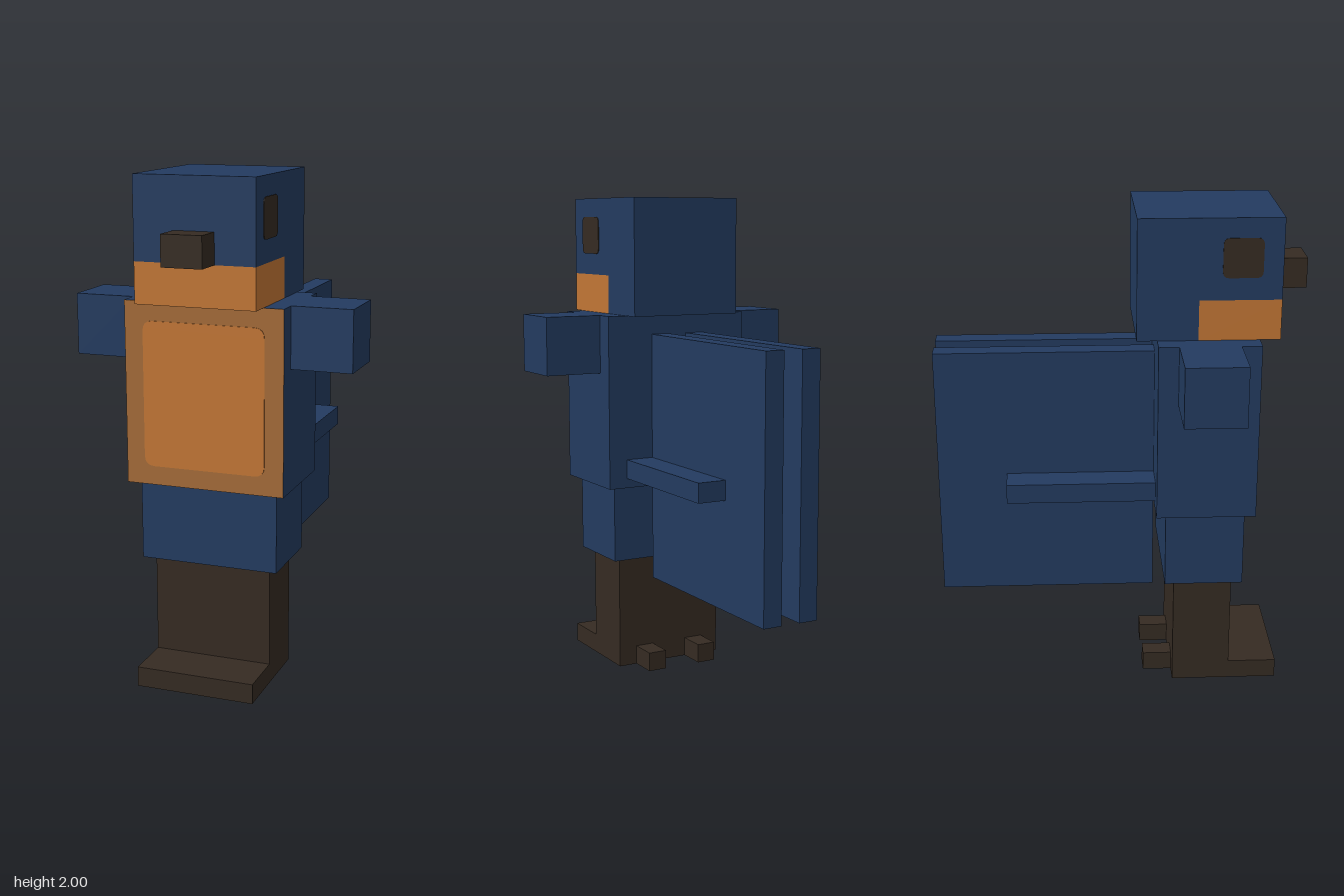
import * as THREE from 'three';

export function createModel() {
  const model = new THREE.Group();
  model.name = 'blockBird';

  const material = (name, color) => {
    const m = new THREE.MeshStandardMaterial({ color });
    m.name = name;
    return m;
  };
  const blue = material('blue feathers', 0x233b60);
  const orange = material('orange feathers', 0xc27635);
  const brown = material('brown chest border', 0xa46b38);
  const dark = material('dark horn', 0x352b22);

  // Box given by its lower and upper corners
  function block(name, mat, [x0, y0, z0], [x1, y1, z1]) {
    const mesh = new THREE.Mesh(new THREE.BoxGeometry(x1 - x0, y1 - y0, z1 - z0), mat);
    mesh.position.set((x0 + x1) / 2, (y0 + y1) / 2, (z0 + z1) / 2);
    mesh.name = name;
    model.add(mesh);
    return mesh;
  }

  // The same box on the model's left and right
  function pair(name, mat, [x0, y0, z0], [x1, y1, z1]) {
    block(name + 'Left', mat, [x0, y0, z0], [x1, y1, z1]);
    block(name + 'Right', mat, [-x1, y0, z0], [-x0, y1, z1]);
  }

  // Thin rounded plate facing +z, for painted details
  function plate(name, mat, w, h, r) {
    const a = w / 2, b = h / 2;
    const s = new THREE.Shape();
    s.moveTo(-a + r, -b);
    s.lineTo(a - r, -b);
    s.quadraticCurveTo(a, -b, a, -b + r);
    s.lineTo(a, b - r);
    s.quadraticCurveTo(a, b, a - r, b);
    s.lineTo(-a + r, b);
    s.quadraticCurveTo(-a, b, -a, b - r);
    s.lineTo(-a, -b + r);
    s.quadraticCurveTo(-a, -b, -a + r, -b);
    const geo = new THREE.ExtrudeGeometry(s, { depth: 0.003, bevelEnabled: false, curveSegments: 4 });
    const mesh = new THREE.Mesh(geo, mat);
    mesh.name = name;
    model.add(mesh);
    return mesh;
  }

  // Head: blue crown and nape, orange throat and underside
  block('crown', blue, [-0.24, 1.68, 0.06], [0.24, 2, 0.62]);
  block('nape', [blue, blue, blue, orange, blue, blue], [-0.24, 1.52, 0.06], [0.24, 1.68, 0.3]);
  block('throat', orange, [-0.24, 1.52, 0.3], [0.24, 1.68, 0.62]);
  block('beak', dark, [-0.08, 1.68, 0.62], [0.08, 1.8, 0.74]);

  for (const side of [1, -1]) {
    const eye = plate(side > 0 ? 'eyeLeft' : 'eyeRight', dark, 0.155, 0.155, 0.025);
    eye.position.set(side * 0.24, 1.845, 0.465);
    eye.rotation.y = side * Math.PI / 2;
  }

  // Body with a bordered chest patch
  block('torso', [blue, blue, blue, blue, brown, blue], [-0.32, 0.8, 0.14], [0.32, 1.52, 0.54]);
  plate('chestPatch', orange, 0.49, 0.57, 0.04).position.set(0, 1.16, 0.54);
  block('hips', blue, [-0.28, 0.48, 0.18], [0.28, 0.8, 0.5]);

  // Shoulders, folded wings and the bars on their outer faces
  pair('shoulder', blue, [0.32, 1.28, 0.22], [0.56, 1.52, 0.46]);
  pair('wing', blue, [0.04, 0.4, -0.74], [0.12, 1.44, 0.14]);
  pair('wingBar', blue, [0.12, 0.84, -0.46], [0.24, 0.92, 0.14]);

  // Legs, feet and hind claws
  block('legs', dark, [-0.24, 0, 0.22], [0.24, 0.48, 0.46]);
  block('feet', dark, [-0.24, 0, 0.46], [0.24, 0.08, 0.66]);
  pair('hindClaw', dark, [0.08, 0, 0.1], [0.16, 0.08, 0.22]);

  return model;
}
